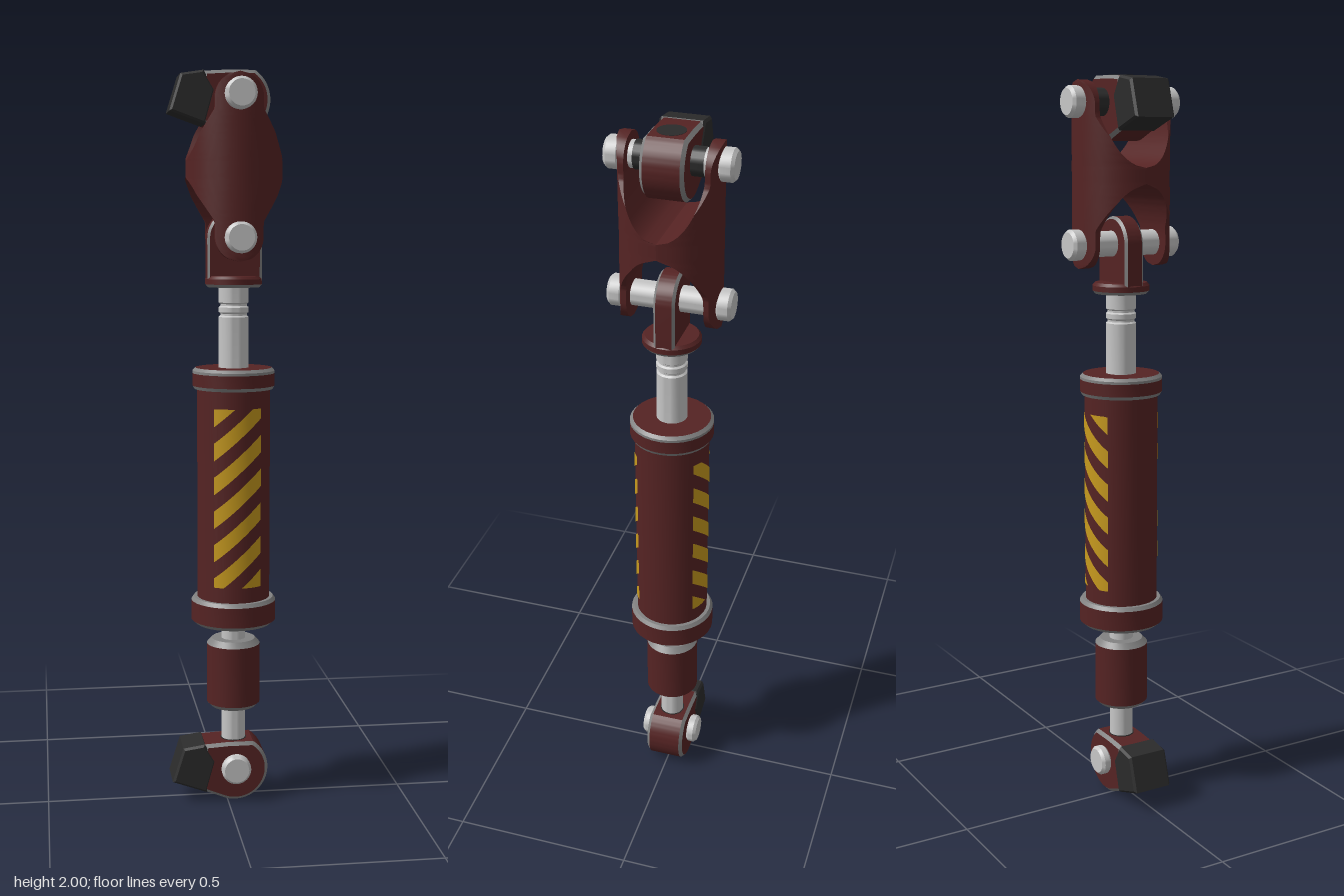
import * as THREE from 'three';
import { toCreasedNormals } from 'three/addons/utils/BufferGeometryUtils.js';

const CX = 0.022; // axis of the strut
const material = (name, color) => Object.assign(new THREE.MeshStandardMaterial({ color }), { name });

export function createModel() {
  const red = material('dark red paint', 0x552323);
  const steel = material('bright steel', 0xc6c6c6);
  const worn = material('worn grey edge', 0x828282);
  const dark = material('black rubber', 0x2b2b2b);
  const yellow = material('warning yellow', 0xc79a1e);

  const model = new THREE.Group();
  model.name = 'hydraulicStrut';

  const add = (name, geometry, mat, parent = model) => {
    const mesh = new THREE.Mesh(geometry, mat);
    mesh.name = name;
    parent.add(mesh);
    return mesh;
  };

  // Turned part: profile of [radius, y] from bottom to top
  const turned = (name, mat, profile, parent = model) => {
    const points = profile.map(([r, y]) => new THREE.Vector2(r, y));
    const mesh = add(name, toCreasedNormals(new THREE.LatheGeometry(points, 32), 0.5), mat, parent);
    if (parent === model) mesh.position.x = CX;
    return mesh;
  };

  // Plate extruded along z, bevelled edges in their own colour
  const plate = (name, shape, half, bevel, mat, edgeMat, parent = model) => {
    const raw = new THREE.ExtrudeGeometry(shape, {
      depth: 2 * (half - bevel), bevelThickness: bevel, bevelSize: bevel,
      bevelOffset: -bevel, bevelSegments: 1, curveSegments: 20,
    });
    raw.translate(0, 0, bevel - half);
    const geometry = toCreasedNormals(raw, 0.5);
    geometry.clearGroups();
    const normals = geometry.attributes.normal;
    for (let i = 0; i < normals.count; i += 3) {
      const nz = Math.abs(normals.getZ(i));
      geometry.addGroup(i, 3, nz > 0.2 && nz < 0.9 ? 1 : 0);
    }
    return add(name, geometry, [mat, edgeMat], parent);
  };

  // Pin along z with chamfered heads
  const pin = (name, y, half, headStart, shaftRadius) => {
    const group = new THREE.Group();
    group.name = name;
    group.position.set(CX, y, 0);
    group.rotation.x = Math.PI / 2;
    turned('pinShaft', steel, [[shaftRadius, -headStart], [shaftRadius, headStart]], group);
    for (const s of [0, Math.PI]) {
      turned('pinHead', steel, [[0, headStart], [0.036, headStart], [0.041, headStart + 0.006],
        [0.041, half - 0.008], [0.034, half], [0, half]], group).rotation.x = s;
    }
    model.add(group);
    return group;
  };

  // Knuckle with a rounded nose and a black wedge behind it
  const knuckle = (name, y) => {
    const group = new THREE.Group();
    group.name = name;
    group.position.y = y;
    const body = new THREE.Shape();
    body.moveTo(-0.065, 0.163);
    body.lineTo(0.0, 0.167);
    body.lineTo(0.072, 0.167);
    body.absarc(CX, 0.091, 0.091, 0.98, -1.92, true);
    body.lineTo(-0.07, 0.03);
    plate('knuckleBody', body, 0.055, 0.009, red, worn, group);
    const wedge = new THREE.Shape([[-0.155, 0.06], [-0.06, 0.026], [-0.035, 0.115], [-0.065, 0.165], [-0.125, 0.156]]
      .map(([px, py]) => new THREE.Vector2(px, py)));
    plate('knuckleWedge', wedge, 0.058, 0.006, dark, dark, group);
    const socket = add('topSocket', new THREE.CylinderGeometry(0.036, 0.036, 0.003, 24), dark, group);
    socket.position.set(CX, 0.1665, 0);
    model.add(group);
  };
  knuckle('lowerKnuckle', 0);
  knuckle('upperKnuckle', 1.832);
  pin('lowerKnucklePin', 0.095, 0.083, 0.054, 0.035);
  const topPin = pin('upperYokePin', 1.931, 0.162, 0.122, 0.034);
  turned('pinSleeve', dark, [[0.036, -0.088], [0.036, 0.088]], topPin);
  pin('lowerYokePin', 1.565, 0.162, 0.122, 0.034);

  // Lower rod and adjusting nut
  turned('lowerRod', steel, [[0.033, 0.15], [0.033, 0.52]]);
  turned('adjusterBottomEdge', worn, [[0, 0.262], [0.062, 0.262], [0.074, 0.274]]);
  turned('adjusterNut', red, [[0.074, 0.274], [0.074, 0.442]]);
  turned('adjusterTopEdge', worn, [[0.074, 0.442], [0.06, 0.457], [0, 0.457]]);

  // Barrel with end caps
  turned('barrelBottomEdge', worn, [[0, 0.502], [0.104, 0.502], [0.117, 0.513]]);
  turned('barrelBottomCap', red, [[0.117, 0.513], [0.117, 0.568]]);
  turned('barrelBottomShoulder', worn, [[0.117, 0.568], [0.11, 0.578], [0.1, 0.578]]);
  turned('barrel', red, [[0.1, 0.575], [0.1, 1.165]]);
  turned('barrelTopShoulder', worn, [[0.1, 1.157], [0.107, 1.157], [0.112, 1.166]]);
  turned('barrelTopCap', red, [[0.112, 1.166], [0.112, 1.2]]);
  turned('barrelTopEdge', worn, [[0.112, 1.2], [0.112, 1.207], [0.104, 1.215]]);
  turned('barrelTopFace', red, [[0.104, 1.215], [0, 1.215]]);

  // Piston rod with a double groove
  turned('pistonRod', steel, [[0.041, 1.21], [0.041, 1.352], [0.036, 1.356], [0.036, 1.361], [0.041, 1.365],
    [0.041, 1.378], [0.036, 1.382], [0.036, 1.387], [0.041, 1.391], [0.041, 1.44]]);

  // Diagonal warning stripes wrapped on the front and back of the barrel
  const stripe = (offset, side) => {
    const steps = 16, half = 0.064, radius = 0.1015;
    const positions = [], index = [];
    for (let i = 0; i <= steps; i++) {
      const x = half * (2 * i / steps - 1);
      const z = side * Math.sqrt(radius * radius - x * x);
      for (const edge of [-0.024, 0.024]) {
        positions.push(x, THREE.MathUtils.clamp(offset + 0.9 * x + edge, 0.62, 1.11), z);
      }
      if (i === steps) break;
      const a = 2 * i;
      index.push(...(side > 0 ? [a, a + 2, a + 1, a + 2, a + 3, a + 1] : [a, a + 1, a + 2, a + 2, a + 1, a + 3]));
    }
    const geometry = new THREE.BufferGeometry();
    geometry.setAttribute('position', new THREE.Float32BufferAttribute(positions, 3));
    geometry.setIndex(index);
    geometry.computeVertexNormals();
    add('warningStripe', geometry, yellow).position.x = CX;
  };
  for (let k = 0; k < 7; k++) for (const side of [1, -1]) stripe(0.587 + k * 0.0925, side);

  // Rod eye: flange and tapered lug
  turned('eyeFlangeEdge', worn, [[0, 1.432], [0.07, 1.432], [0.077, 1.44]]);
  turned('eyeFlange', red, [[0.077, 1.44], [0.077, 1.454], [0.07, 1.462], [0, 1.462]]);
  const eye = new THREE.Shape();
  eye.moveTo(-0.074, 1.45);
  eye.lineTo(0.074, 1.45);
  eye.absarc(0, 1.563, 0.074, 0, Math.PI, false);
  plate('eyeLug', eye, 0.028, 0.007, red, worn).position.x = CX;

  // Yoke: round bar narrowed in front profile and hollowed by an arch from each end
  const R = 0.13, rows = 72, n = 14, bottom = 1.502, top = 1.987;
  const halfWidth = (y) => {
    const r = 0.064;
    if (y < bottom + r) return Math.sqrt(Math.max(0, r * r - (bottom + r - y) ** 2));
    if (y > top - r) return Math.sqrt(Math.max(0, r * r - (y - top + r) ** 2));
    if (y < 1.71) return THREE.MathUtils.mapLinear(Math.max(y, 1.605), 1.605, 1.71, r, R);
    if (y > 1.785) return THREE.MathUtils.mapLinear(Math.min(y, 1.895), 1.785, 1.895, R, r);
    return R;
  };
  const arch = (y) => {
    const t = y > 1.743 ? (1.92 - y) / 0.155 : (y - 1.575) / 0.145;
    return 0.1 * Math.sqrt(Math.max(0, 1 - Math.max(0, t) ** 2));
  };
  const positions = [], index = [], ring = 2 * (n + 1);
  for (let j = 0; j <= rows; j++) {
    const y = bottom + (top - bottom) * j / rows;
    const a = arch(y);
    const w = Math.min(halfWidth(y), Math.sqrt(R * R - a * a));
    for (let i = 0; i < ring; i++) {
      const outer = i <= n;
      const x = w * Math.sin(Math.PI * ((outer ? i : ring - 1 - i) / n - 0.5));
      positions.push(x, y, outer ? Math.sqrt(Math.max(0, R * R - x * x)) : a);
      if (j === rows) continue;
      const p = j * ring + i, q = j * ring + (i + 1) % ring;
      index.push(p, q, p + ring, q, q + ring, p + ring);
    }
  }
  const yoke = new THREE.BufferGeometry();
  yoke.setAttribute('position', new THREE.Float32BufferAttribute(positions, 3));
  yoke.setIndex(index);
  const yokeHalf = toCreasedNormals(yoke, 0.6);
  for (const turn of [0, Math.PI]) {
    const mesh = add('yokeHalf', yokeHalf, red);
    mesh.position.x = CX;
    mesh.rotation.y = turn;
  }
  return model;
}
